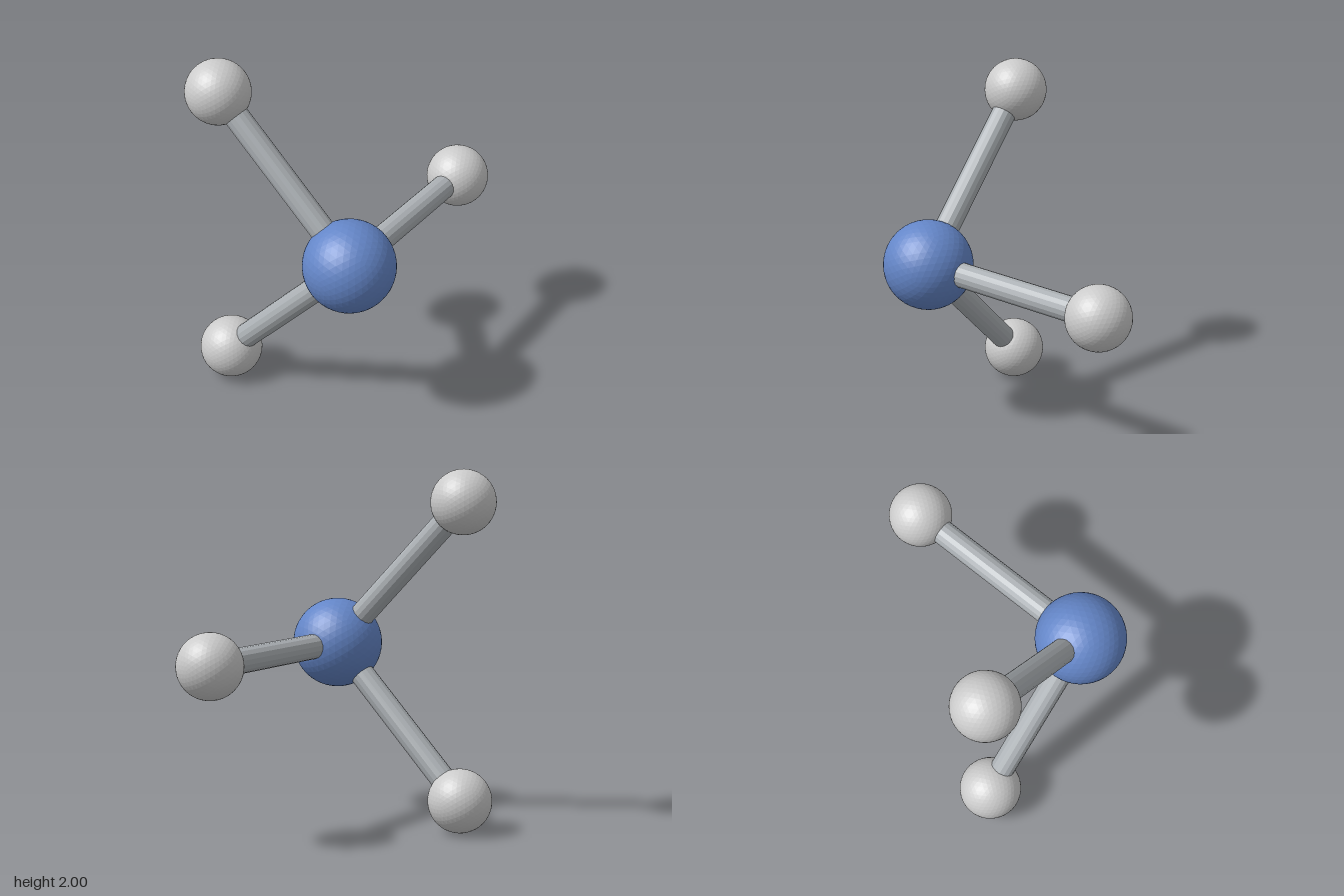
import * as THREE from 'three';

export function createModel() {
  const group = new THREE.Group();
  group.name = 'pyramidalMolecule';

  const blue = new THREE.MeshStandardMaterial({ color: 0x6486c8, flatShading: true });
  const grey = new THREE.MeshStandardMaterial({ color: 0xcccccc, flatShading: true });
  const steel = new THREE.MeshStandardMaterial({ color: 0xacb1b5, flatShading: true });

  // Faceted ball
  function ball(name, radius, position, material) {
    const mesh = new THREE.Mesh(new THREE.IcosahedronGeometry(radius, 7), material);
    mesh.name = name;
    mesh.position.copy(position);
    group.add(mesh);
  }

  // Round rod joining two points
  function rod(name, a, b) {
    const dir = b.clone().sub(a);
    const mesh = new THREE.Mesh(new THREE.CylinderGeometry(0.07, 0.07, dir.length(), 16), steel);
    mesh.name = name;
    mesh.position.copy(a).add(b).multiplyScalar(0.5);
    mesh.quaternion.setFromUnitVectors(new THREE.Vector3(0, 1, 0), dir.normalize());
    group.add(mesh);
  }

  // Central atom in front, three outer atoms on a circle behind it
  const centre = new THREE.Vector3(-0.238, 1.003, 0.29);
  ball('centralAtom', 0.253, centre, blue);
  ['leftAtom', 'upperAtom', 'lowerAtom'].forEach((name, i) => {
    const angle = (i * Math.PI * 2) / 3;
    const end = new THREE.Vector3(
      centre.x + 0.948 * Math.cos(angle),
      centre.y + 0.948 * Math.sin(angle),
      -0.368
    );
    ball(name, 0.178, end, grey);
    rod(name.replace('Atom', 'Bond'), centre, end);
  });

  return group;
}
